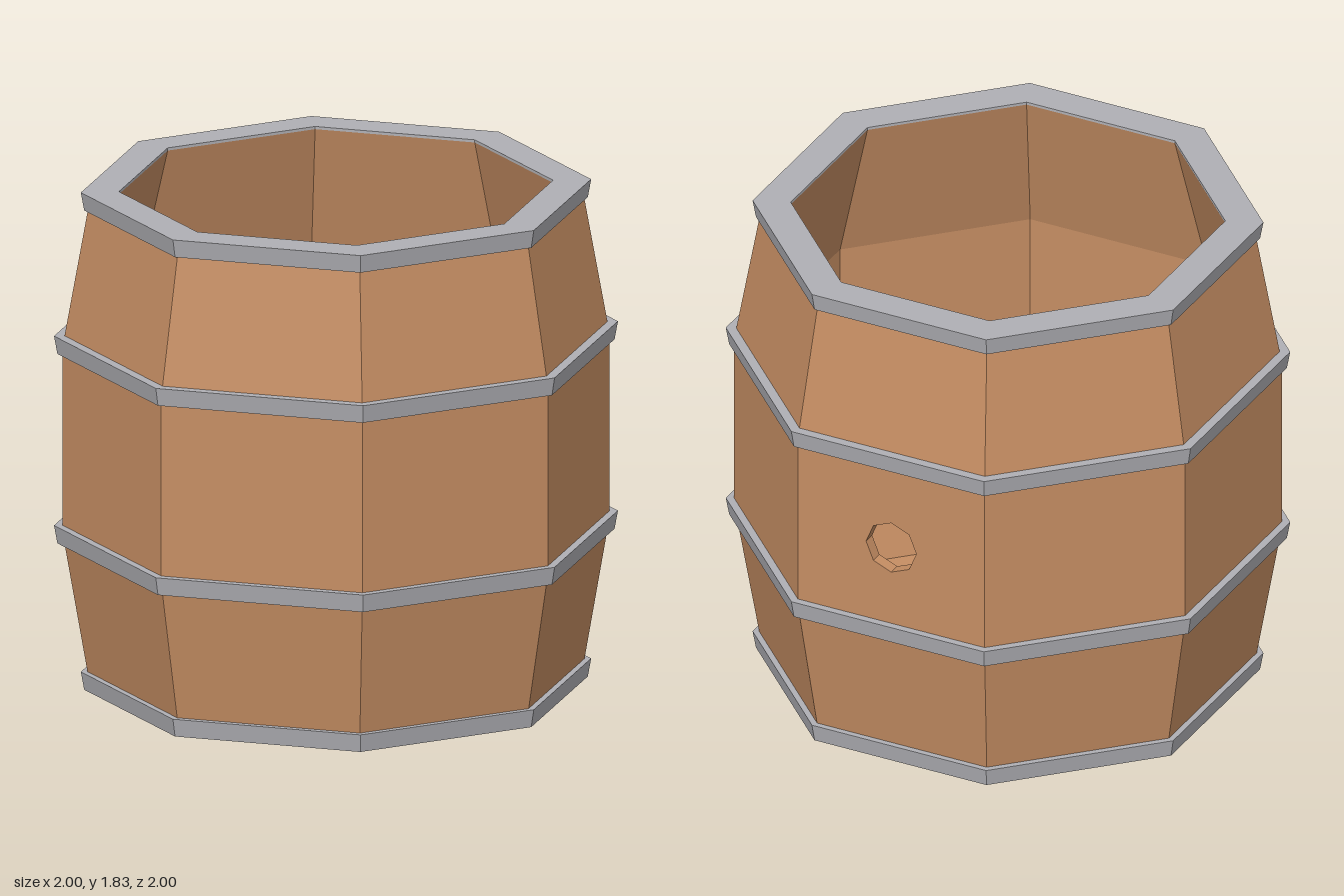
import * as THREE from 'three';

const SIDES = 8;
const STEP = (Math.PI * 2) / SIDES;
const wood = new THREE.MeshStandardMaterial({ color: 0xc68e63, flatShading: true });
const iron = new THREE.MeshStandardMaterial({ color: 0xb0b0b5, flatShading: true });

// Turns a [radius, y] profile into an eight-sided shell (upward = facing out)
function ring(name, profile, material, start = 0, sides = SIDES) {
  const points = profile.map(([r, y]) => new THREE.Vector2(r, y));
  const mesh = new THREE.Mesh(new THREE.LatheGeometry(points, sides, start, sides * STEP), material);
  mesh.name = name;
  return mesh;
}

export function createModel() {
  const barrel = new THREE.Group();
  barrel.name = 'barrel';

  const low = 0.58, high = 1.26, top = 1.825;
  const outer = 0.97, inner = 0.92;   // belly radii
  const endOuter = 0.87, mouth = 0.77;

  // Lower staves with the floor, and upper tapered staves
  barrel.add(ring('lowerStaves', [
    [inner, low], [mouth, 0.05], [0, 0.05], [0, 0], [endOuter, 0], [outer, low],
  ], wood));
  barrel.add(ring('upperStaves', [
    [outer, high], [endOuter, top - 0.01], [mouth, top - 0.01], [inner, high],
  ], wood));

  // Belly: seven plain sides, the eighth is pierced by the bung hole
  barrel.add(ring('bellyOutside', [[outer, low], [outer, high]], wood, 3 * STEP, 7));
  barrel.add(ring('bellyInside', [[inner, high], [inner, low]], wood, 3 * STEP, 7));

  const half = outer * Math.sin(STEP / 2);
  const panel = new THREE.Shape([
    new THREE.Vector2(-half, low), new THREE.Vector2(half, low),
    new THREE.Vector2(half, high), new THREE.Vector2(-half, high),
  ]);
  const hole = [];
  for (let i = 0; i < 8; i++) {
    const a = -i * Math.PI / 4;
    hole.push(new THREE.Vector2(0.1 * Math.cos(a), 0.915 + 0.1 * Math.sin(a)));
  }
  panel.holes.push(new THREE.Path(hole));
  const depth = (outer - inner) * Math.cos(STEP / 2);
  const panelGeometry = new THREE.ExtrudeGeometry(panel, { depth, bevelEnabled: false });
  panelGeometry.translate(0, 0, inner * Math.cos(STEP / 2));
  const bungPanel = new THREE.Mesh(panelGeometry, wood);
  bungPanel.name = 'bungHolePanel';
  bungPanel.rotation.y = 2.5 * STEP;
  barrel.add(bungPanel);

  // Iron hoops: bottom y, outer radius, inner radius below and above
  const hoops = [
    ['bottomHoop', 0, 0.905, 0.87, 0.87],
    ['lowerHoop', 0.54, 1, 0.95, 0.95],
    ['upperHoop', 1.235, 1, 0.95, 0.95],
    ['rimHoop', top - 0.066, 0.905, 0.86, mouth],
  ];
  for (const [name, y, radius, innerLow, innerHigh] of hoops) {
    barrel.add(ring(name, [
      [innerLow, y], [radius - 0.012, y], [radius, y + 0.066], [innerHigh, y + 0.066],
    ], iron));
  }
  // Inner edge of the rim hoop
  barrel.add(ring('rimInnerEdge', [[mouth, top], [mouth, top - 0.01]], iron));

  return barrel;
}
